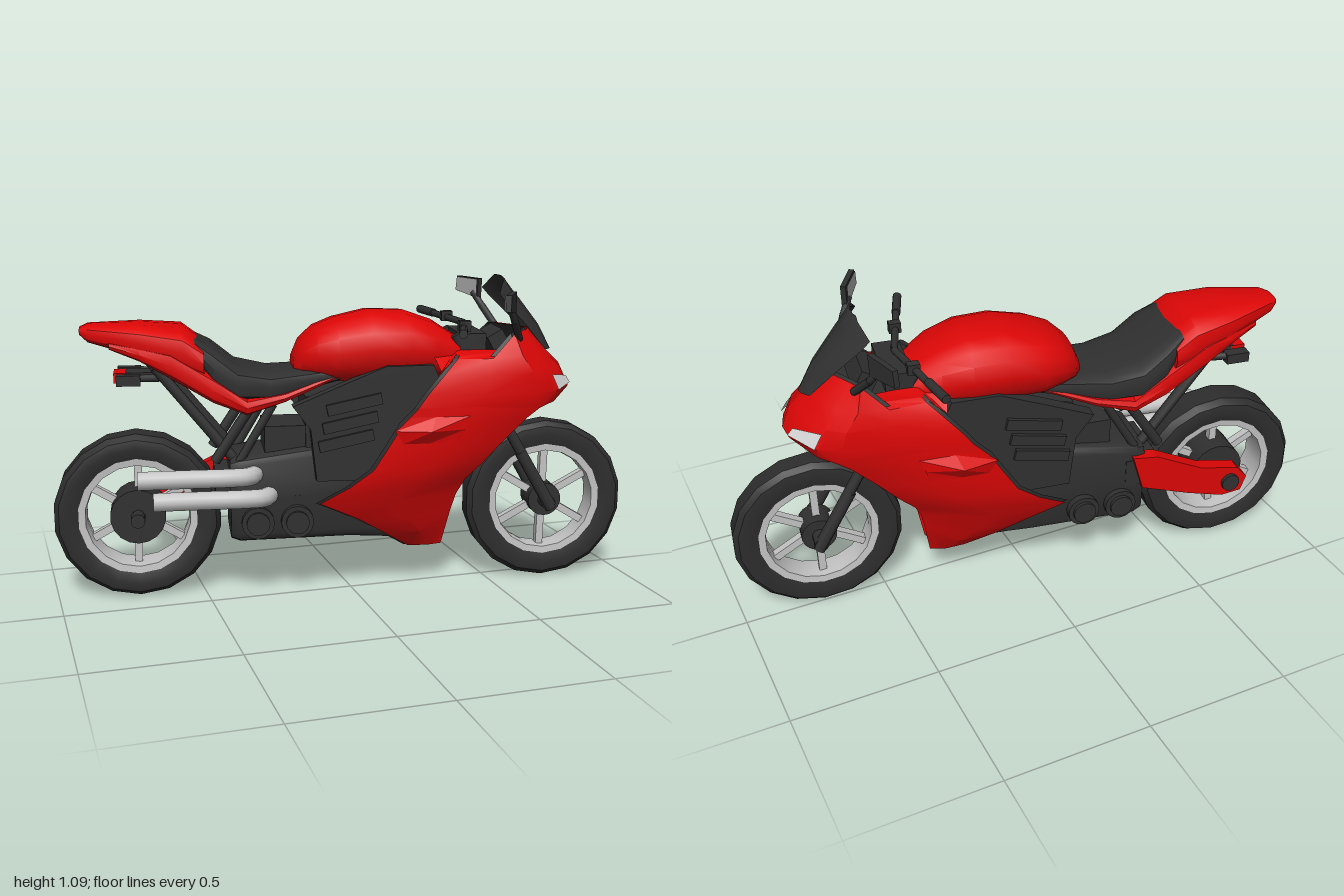
import * as THREE from 'three';
import { toCreasedNormals } from 'three/addons/utils/BufferGeometryUtils.js';

const paint = (name, color) => {
  const m = new THREE.MeshStandardMaterial({ color, side: THREE.DoubleSide });
  m.name = name;
  return m;
};

// Surface through rows of [x, y, z] points; side -1 mirrors it across the centre plane
function skin(rows, side = 1, crease = 0.6) {
  const pos = [], idx = [], n = rows[0].length;
  rows.forEach(r => r.forEach(p => pos.push(p[0], p[1], p[2] * side)));
  for (let r = 0; r < rows.length - 1; r++) {
    for (let p = 0; p < n - 1; p++) {
      const a = r * n + p, b = a + 1, c = b + n, d = a + n;
      if (side > 0) idx.push(a, b, c, a, c, d);
      else idx.push(a, c, b, a, d, c);
    }
  }
  const g = new THREE.BufferGeometry();
  g.setAttribute('position', new THREE.Float32BufferAttribute(pos, 3));
  g.setIndex(idx);
  return toCreasedNormals(g, crease);
}

// Closed body from stations [x, bottom, top, halfWidth] with rounded-square sections
function hull(stations, power = 0.7, sides = 16) {
  const soft = v => Math.sign(v) * Math.abs(v) ** power;
  const ring = ([x, lo, hi, w]) => Array.from({ length: sides + 1 }, (_, j) => {
    const a = (j / sides) * Math.PI * 2;
    return [x, (lo + hi) / 2 - ((hi - lo) / 2) * soft(Math.sin(a)), w * soft(Math.cos(a))];
  });
  const cap = ([x, lo, hi]) => ring([x, (lo + hi) / 2, (lo + hi) / 2, 0]);
  return skin([cap(stations[0]), ...stations.map(ring), cap(stations.at(-1))]);
}

// Flat side profile extruded across the bike
function slab(points, depth, z = 0) {
  const shape = new THREE.Shape(points.map(p => new THREE.Vector2(...p)));
  const g = new THREE.ExtrudeGeometry(shape, { depth, bevelEnabled: false });
  return g.translate(0, 0, z - depth / 2);
}

// Round bar between two points
function bar(a, b, r, sides = 10) {
  const A = new THREE.Vector3(...a), B = new THREE.Vector3(...b), d = B.clone().sub(A);
  const g = new THREE.CylinderGeometry(r, r, d.length(), sides);
  g.applyQuaternion(new THREE.Quaternion().setFromUnitVectors(new THREE.Vector3(0, 1, 0), d.normalize()));
  return g.translate(...A.add(B).multiplyScalar(0.5).toArray());
}

const box = (w, h, d, x, y, z, tilt = 0) => new THREE.BoxGeometry(w, h, d).rotateZ(tilt).translate(x, y, z);

export function createModel() {
  const red = paint('red paint', 0xdc0606), dark = paint('dark trim', 0x303030);
  const rubber = paint('tyre rubber', 0x2d2d2d), metal = paint('light metal', 0xc4c4c4);
  const lens = paint('headlight lens', 0xdcdcdc), glass = paint('mirror glass', 0xb4b4b4);

  const root = new THREE.Group(), bike = new THREE.Group();
  root.name = 'motorcycle';
  bike.name = 'bike';
  bike.rotation.y = -0.156;
  bike.position.z = -0.07;
  root.add(bike);
  const add = (name, geo, mat, parent = bike) => {
    const m = new THREE.Mesh(geo, mat);
    m.name = name;
    parent.add(m);
    return m;
  };

  // Wheels: tyre, rim ring, spokes and hub
  const wheel = (name, x, w, hubR) => {
    const g = new THREE.Group();
    g.name = name;
    g.position.set(x, 0.29, 0);
    bike.add(g);
    const lathe = pts => toCreasedNormals(
      new THREE.LatheGeometry(pts.map(p => new THREE.Vector2(...p)), 18).rotateX(Math.PI / 2), 0.6);
    add('tyre', lathe([[0.204, -w * 0.85], [0.24, -w], [0.27, -w * 0.92], [0.287, -w * 0.6],
      [0.287, w * 0.6], [0.27, w * 0.92], [0.24, w], [0.204, w * 0.85]]), rubber, g);
    add('rim', lathe([[0.206, -w * 0.84], [0.18, -w * 0.8], [0.176, 0], [0.18, w * 0.8], [0.206, w * 0.84]]), metal, g);
    for (let i = 0; i < 6; i++) {
      add('spoke', new THREE.BoxGeometry(0.15, 0.026, 0.03).translate(0.105, 0, 0)
        .rotateZ((i * Math.PI) / 3 + 0.5), metal, g);
    }
    add('hub', bar([0, 0, -w * 0.9], [0, 0, w * 0.9], hubR, 18), dark, g);
    add('axle', bar([0, 0, -w - 0.05], [0, 0, w + 0.05], 0.025), dark, g);
  };
  wheel('frontWheel', 0.72, 0.055, 0.06);
  wheel('rearWheel', -0.725, 0.075, 0.095);

  // Tank, seat and tail
  add('tank', hull([[-0.185, 0.77, 0.83, 0.065], [-0.16, 0.76, 0.885, 0.105], [-0.11, 0.75, 0.93, 0.14],
    [-0.04, 0.74, 0.958, 0.163], [0.08, 0.74, 0.985, 0.172], [0.2, 0.74, 0.98, 0.17], [0.3, 0.75, 0.945, 0.15],
    [0.4, 0.76, 0.88, 0.11]], 0.8), red);
  add('seat', hull([[-0.52, 0.84, 0.91, 0.14], [-0.46, 0.75, 0.88, 0.163], [-0.38, 0.69, 0.815, 0.165],
    [-0.27, 0.69, 0.79, 0.152], [-0.15, 0.72, 0.795, 0.135], [-0.03, 0.75, 0.8, 0.12]], 0.55), dark);
  add('tail', hull([[-0.897, 0.915, 0.94, 0.04], [-0.87, 0.89, 0.952, 0.062], [-0.7, 0.84, 0.955, 0.132],
    [-0.56, 0.79, 0.945, 0.16], [-0.49, 0.77, 0.89, 0.165]]), red);
  add('tailSkirt', hull([[-0.8, 0.87, 0.9, 0.095], [-0.7, 0.83, 0.89, 0.132], [-0.6, 0.77, 0.88, 0.158],
    [-0.46, 0.685, 0.795, 0.17], [-0.35, 0.645, 0.712, 0.17], [-0.22, 0.685, 0.727, 0.152], [-0.05, 0.755, 0.78, 0.122]], 0.55), red);

  // Engine and cockpit
  add('crankcase', hull([[-0.41, 0.21, 0.49, 0.13], [-0.38, 0.2, 0.5, 0.14], [0, 0.2, 0.55, 0.13],
    [0.15, 0.18, 0.55, 0.09], [0.32, 0.15, 0.45, 0.033]], 0.25), dark);
  add('cylinderBlock', slab([[-0.15, 0.4], [0.3, 0.4], [0.36, 0.66], [0.2, 0.78], [-0.15, 0.7]], 0.22), dark);
  add('airbox', box(0.14, 0.14, 0.2, -0.22, 0.53, 0), dark);
  add('cockpitFloor', box(0.28, 0.03, 0.3, 0.46, 0.805, 0), dark);
  add('noseFloor', box(0.32, 0.02, 0.3, 0.48, 0.7, 0), dark);
  add('instruments', box(0.06, 0.07, 0.16, 0.53, 0.87, 0, 0.5), dark);

  // Fairing sections as [x, z] from back to front; the nose rows meet at the centre
  const row = (y, ...pts) => pts.map(([x, z, py = y]) => [x, py, z]);
  const lower = [
    row(0.14, [0.22, 0.05], [0.29, 0.055], [0.342, 0.04]),
    row(0.21, [0.12, 0.105], [0.25, 0.115], [0.355, 0.06]),
    row(0.27, [0.03, 0.14], [0.2, 0.15], [0.365, 0.08]),
    row(0.34, [-0.11, 0.172], [0.14, 0.182], [0.38, 0.105]),
    row(0.4, [-0.01, 0.198], [0.2, 0.2], [0.405, 0.135]),
    row(0.46, [0.07, 0.208], [0.27, 0.21], [0.46, 0.155]),
    row(0.54, [0.12, 0.215], [0.33, 0.215], [0.53, 0.168]),
    row(0.62, [0.17, 0.215], [0.4, 0.215], [0.61, 0.175]),
    row(0.67, [0.22, 0.215], [0.42, 0.215], [0.65, 0.185, 0.655])];
  const nose = [
    row(0.67, [0.22, 0.215], [0.42, 0.215], [0.65, 0.185, 0.655], [0.71, 0.15], [0.76, 0.07, 0.682], [0.775, 0, 0.685]),
    row(0.71, [0.25, 0.21], [0.45, 0.215], [0.64, 0.2], [0.71, 0.17], [0.785, 0.07], [0.797, 0]),
    row(0.78, [0.31, 0.205], [0.47, 0.21], [0.62, 0.205], [0.68, 0.17], [0.75, 0.075], [0.77, 0]),
    row(0.84, [0.36, 0.18, 0.83], [0.48, 0.19, 0.83], [0.58, 0.2], [0.64, 0.16], [0.69, 0.07], [0.71, 0]),
    row(0.91, [0.37, 0.16, 0.84], [0.52, 0.16, 0.845], [0.56, 0.165], [0.59, 0.12], [0.63, 0.06], [0.65, 0])];
  const inset = rows => rows.map(r => r.map(([x, y, z]) => [x - 0.012, y, Math.max(z - 0.012, 0)]));
  const lip = [
    row(0.55, [0.17, 0.217], [0.26, 0.217], [0.37, 0.211]),
    row(0.595, [0.14, 0.219], [0.26, 0.247], [0.38, 0.219]),
    row(0.64, [0.2, 0.216], [0.28, 0.217], [0.4, 0.216])];
  // Red edges folded inwards, shoulders beside the cockpit and dark wall behind the front wheel
  const frontLip = lower.map(r => [r[2], [r[2][0] - 0.02, r[2][1], r[2][2] - 0.025]]);
  const noseEdge = nose[0].slice(2);
  const noseLip = [noseEdge.map(([x, y, z]) => [x - 0.06, y - 0.014, z * 0.86]), noseEdge];
  const shoulder = [
    row(0.84, [0.3, 0.2, 0.79], [0.37, 0.16], [0.52, 0.16, 0.845], [0.56, 0.165, 0.91]),
    row(0.85, [0.28, 0.13], [0.37, 0.105], [0.52, 0.115], [0.575, 0.12, 0.89])];
  add('radiatorWall', skin(lower.map(r => [1, -1].map(s => [r[2][0] - 0.1, r[2][1], s * (r[2][2] + 0.01)]))), dark);

  for (const s of [1, -1]) {
    add('sideFairing', skin(lower, s), red);
    add('noseFairing', skin(nose, s), red);
    add('fairingLining', skin(inset(lower), s), dark);
    add('noseLining', skin(inset(nose), s), dark);
    add('frontLip', skin(frontLip, s), red);
    add('noseLip', skin(noseLip, s), red);
    add('cockpitShoulder', skin(shoulder, s), red);
    add('ventLip', skin(lip, s, 0.2), red);
    add('headlight', skin([
      [[0.72, 0.713, 0.17], [0.79, 0.722, 0.074]],
      [[0.693, 0.769, 0.175], [0.772, 0.748, 0.079]]], s), lens);

    // Frame spar with cooling ribs
    add('frameSpar', slab([[-0.2, 0.68], [-0.03, 0.75], [0.12, 0.81], [0.28, 0.81], [0.31, 0.74], [0.2, 0.6],
      [0.08, 0.42], [-0.12, 0.42], [-0.14, 0.6]], 0.05, s * 0.15), dark);
    for (let i = 0; i < 3; i++) add('rib', box(0.19, 0.038, 0.03, -0.02 + i * 0.014, 0.56 + i * 0.062, s * 0.173, 0.2), dark);
    for (const x of [-0.32, -0.185]) {
      add('engineCover', bar([x, 0.275, s * 0.1], [x, 0.275, s * 0.158], 0.056, 16), dark);
      add('coverCap', bar([x, 0.275, s * 0.15], [x, 0.275, s * 0.17], 0.04, 16), dark);
    }

    // Rear subframe struts and lamp arms
    add('strut', bar([-0.65, 0.81, s * 0.09], [-0.4, 0.5, s * 0.11], 0.018), dark);
    add('strut', bar([-0.32, 0.7, s * 0.12], [-0.46, 0.49, s * 0.12], 0.018), dark);
    add('strut', bar([-0.26, 0.68, s * 0.11], [-0.38, 0.48, s * 0.11], 0.015), dark);
    add('lampArm', bar([-0.72, 0.775, s * 0.09], [-0.54, 0.77, s * 0.06], 0.013), dark);
    add('tailBracket', bar([-0.7, 0.86, s * 0.06], [-0.63, 0.77, s * 0.06], 0.012), dark);
    add('lampHousing', box(0.08, 0.035, 0.04, -0.74, 0.77, s * 0.09), dark);

    // Front fork, handlebar and mirror
    add('forkLeg', bar([0.37, 0.9, s * 0.09], [0.73, 0.28, s * 0.098], 0.019), dark);
    add('forkSlider', bar([0.61, 0.48, s * 0.096], [0.73, 0.27, s * 0.098], 0.02), dark);
    add('handlebar', bar([0.42, 0.93, 0], [0.34, 0.937, s * 0.34], 0.012), dark);
    add('grip', bar([0.364, 0.936, s * 0.235], [0.336, 0.938, s * 0.35], 0.015), dark);
    add('leverMount', box(0.04, 0.035, 0.03, 0.39, 0.937, s * 0.14), dark);
    add('mirrorStalk', bar([0.58, 0.89, s * 0.15], [0.54, 0.965, s * 0.225], 0.013), dark);
    add('mirrorStalk', bar([0.54, 0.965, s * 0.225], [0.515, 1.01, s * 0.255], 0.012), dark);
    const mirror = new THREE.Group();
    mirror.name = 'mirror';
    mirror.position.set(0.5, 1.025, s * 0.29);
    mirror.rotation.y = -s * 0.4;
    bike.add(mirror);
    const outline = k => new THREE.Shape([[-0.07, 0.035], [0.06, 0.035], [0.068, -0.018], [-0.065, -0.037]]
      .map(([z, y]) => new THREE.Vector2(-s * z * k, y * k)));
    add('mirrorShell', new THREE.ExtrudeGeometry(outline(1), { depth: 0.018, bevelEnabled: false })
      .rotateY(Math.PI / 2), dark, mirror);
    add('mirrorGlass', new THREE.ShapeGeometry(outline(0.94)).rotateY(Math.PI / 2)
      .translate(-0.004, 0, 0), glass, mirror);
  }
  add('forkClamp', box(0.09, 0.06, 0.22, 0.43, 0.875, 0), dark);
  add('plateHolder', box(0.2, 0.025, 0.1, -0.65, 0.775, 0), dark);
  add('tailLamp', box(0.05, 0.033, 0.1, -0.765, 0.77, 0), red);

  // Windscreen, bowed across its width
  add('windscreen', skin([[0.735, 0.835, 0.045, 0.03], [0.69, 0.92, 0.082, 0.06], [0.62, 1.01, 0.115, 0.08],
    [0.595, 1.04, 0.122, 0.08], [0.56, 1.085, 0.07, 0.02], [0.55, 1.093, 0.045, 0.01]].map(([x, y, w, back]) =>
    [1, 0.5, 0, -0.5, -1].map(t => [x - back * t * t, y, w * t]))), dark);

  // Single-sided swingarm
  add('swingarm', slab([[-0.36, 0.46], [-0.45, 0.45], [-0.62, 0.37], [-0.76, 0.345], [-0.8, 0.3], [-0.78, 0.245],
    [-0.71, 0.235], [-0.58, 0.27], [-0.4, 0.33]], 0.05, -0.13), red);
  add('swingarmPivot', box(0.12, 0.1, 0.24, -0.4, 0.39, -0.02), dark);
  add('axleNut', bar([-0.735, 0.29, -0.14], [-0.735, 0.29, -0.168], 0.033, 12), dark);

  // Twin exhaust pipes
  for (const [dx, dy] of [[0, 0], [0.05, -0.075]]) {
    const path = new THREE.CatmullRomCurve3([[-0.72, 0.445, 0.18], [-0.55, 0.445, 0.18], [-0.41, 0.445, 0.182],
      [-0.35, 0.443, 0.165], [-0.32, 0.44, 0.1]].map(([x, y, z]) => new THREE.Vector3(x + dx, y + dy, z)));
    add('exhaustPipe', new THREE.TubeGeometry(path, 24, 0.032, 12), metal);
    add('exhaustTip', bar([-0.718 + dx, 0.445 + dy, 0.18], [-0.7 + dx, 0.445 + dy, 0.18], 0.031, 12), metal);
  }
  return root;
}
